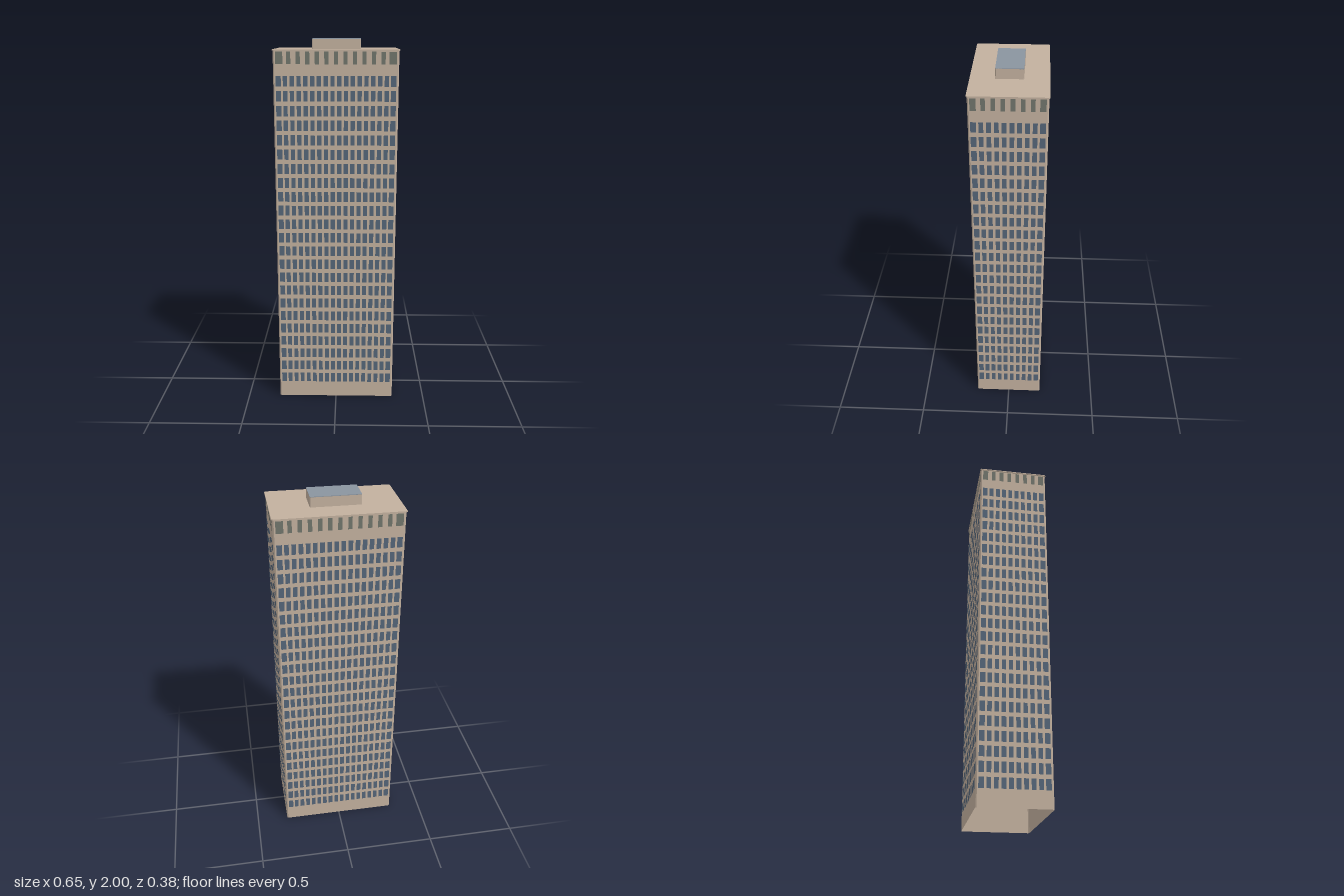
import * as THREE from 'three';
import { mergeGeometries } from 'three/addons/utils/BufferGeometryUtils.js';

const HX = 0.322, HZ = 0.188, ROOF = 1.947, CUT = 0.006;

// Corner points of a rectangle with chamfered corners, counter-clockwise
function outline(hx, hz, c) {
  return [
    [hx, -hz + c], [hx, hz - c], [hx - c, hz], [-hx + c, hz],
    [-hx, hz - c], [-hx, -hz + c], [-hx + c, -hz], [hx - c, -hz],
  ].map(([x, y]) => new THREE.Vector2(x, y));
}

// Upright wall shell, open at top and bottom
function shell(points, y0, y1) {
  const pos = [];
  points.forEach((a, i) => {
    const b = points[(i + 1) % points.length];
    pos.push(a.x, y0, -a.y, b.x, y0, -b.y, b.x, y1, -b.y);
    pos.push(a.x, y0, -a.y, b.x, y1, -b.y, a.x, y1, -a.y);
  });
  const geo = new THREE.BufferGeometry();
  geo.setAttribute('position', new THREE.Float32BufferAttribute(pos, 3));
  geo.computeVertexNormals();
  return geo;
}

// Solid slab of the same outline
function slab(points, y0, y1) {
  const geo = new THREE.ExtrudeGeometry(new THREE.Shape(points), { depth: y1 - y0, bevelEnabled: false });
  return geo.rotateX(-Math.PI / 2).translate(0, y0, 0);
}

// One row of panes between -half and half; the end panes are wider
function paneRow(out, { count, half, endWidth, width, height, y }) {
  const span = half - endWidth / 2;
  for (let i = 0; i < count; i++) {
    const w = i === 0 || i === count - 1 ? endWidth : width;
    const x = -span + (2 * span * i) / (count - 1);
    out.push(new THREE.PlaneGeometry(w, height).translate(x, y, 0));
  }
}

export function createModel() {
  const group = new THREE.Group();
  const mat = (name, color, side = THREE.FrontSide) => {
    const m = new THREE.MeshStandardMaterial({ color, side });
    m.name = name;
    return m;
  };
  const stone = mat('beigeStone', 0xc2b09e, THREE.DoubleSide);
  const glass = mat('blueGlass', 0x546578);
  const louver = mat('greyLouver', 0x70746b);
  const hatch = mat('rooftopGrey', 0x8a949f);

  const add = (name, geo, material) => {
    const mesh = new THREE.Mesh(geo, material);
    mesh.name = name;
    group.add(mesh);
    return mesh;
  };

  // Tower walls, open underneath, with a slightly overhanging roof
  add('towerWalls', shell(outline(HX, HZ, CUT), 0, ROOF - 0.004), stone);
  add('roofSlab', slab(outline(HX + 0.005, HZ + 0.004, CUT), ROOF - 0.006, ROOF), stone);

  // Rooftop plant room with its own roof colour
  add('plantRoomWalls', shell(outline(0.128, 0.069, 0.003), ROOF, 1.998), stone);
  add('plantRoomRoof', slab(outline(0.128, 0.069, 0.003), 1.997, 2), hatch);

  // Windows and louvers on each of the four faces
  const faces = [
    { name: 'front', turn: 0, dist: HZ, half: 0.309, columns: 18, vents: 13, endVent: 0.037 },
    { name: 'left', turn: Math.PI / 2, dist: HX, half: 0.176, columns: 10, vents: 8, endVent: 0.029 },
    { name: 'back', turn: Math.PI, dist: HZ, half: 0.309, columns: 18, vents: 13, endVent: 0.037 },
    { name: 'right', turn: -Math.PI / 2, dist: HX, half: 0.176, columns: 10, vents: 8, endVent: 0.029 },
  ];
  for (const f of faces) {
    const place = (geos) => mergeGeometries(geos).translate(0, 0, f.dist + 0.0015).rotateY(f.turn);
    const windows = [];
    for (let row = 0; row < 23; row++) {
      paneRow(windows, {
        count: f.columns, half: f.half, endWidth: 0.027, width: 0.0225,
        height: 0.054, y: 0.117 + row * 0.076,
      });
    }
    add(f.name + 'Windows', place(windows), glass);

    const vents = [];
    paneRow(vents, {
      count: f.vents, half: f.half, endWidth: f.endVent, width: 0.021, height: 0.062, y: 1.905,
    });
    add(f.name + 'Louvers', place(vents), louver);
  }
  return group;
}
